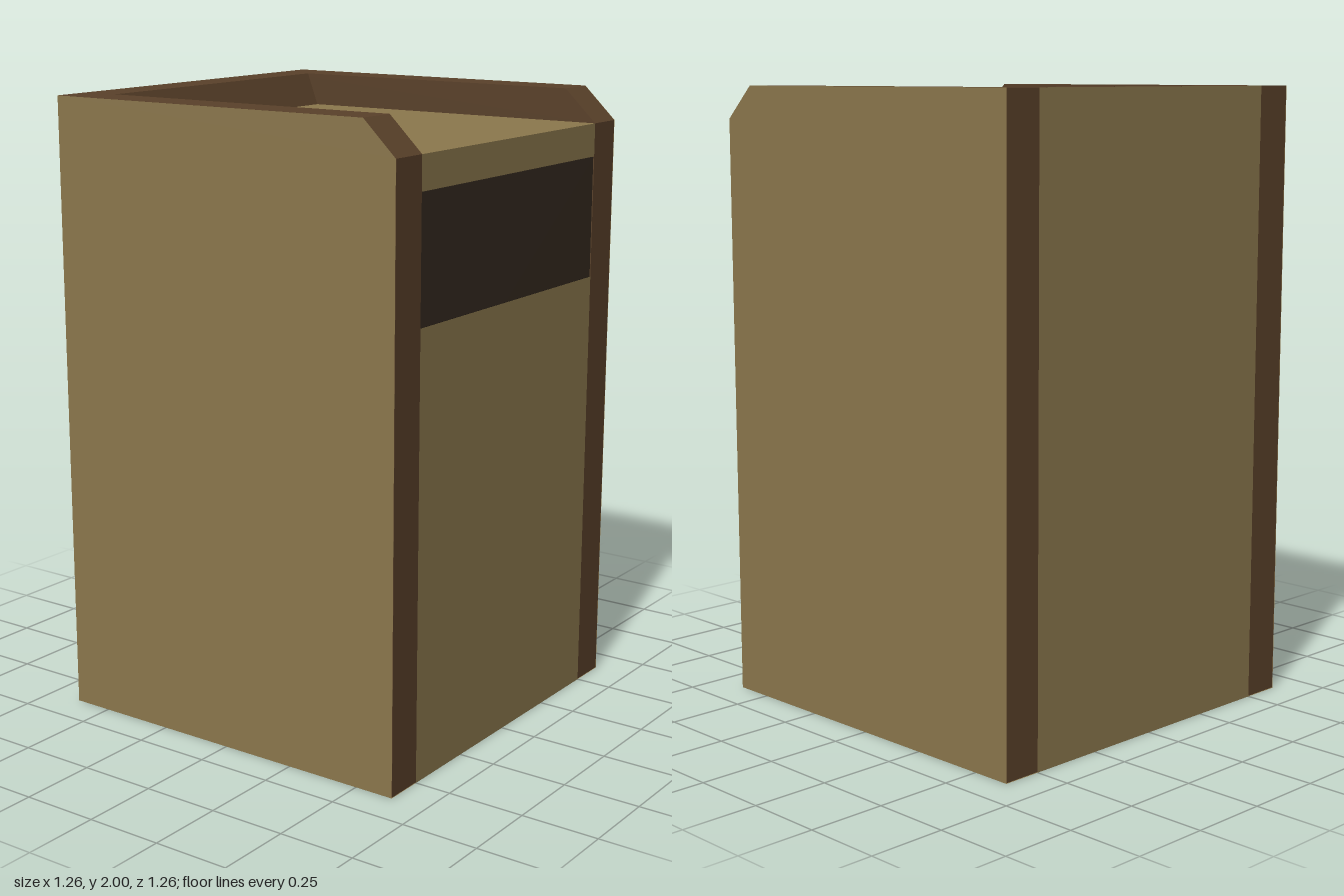
import * as THREE from 'three';

const mat = (color, side = THREE.FrontSide) =>
  new THREE.MeshStandardMaterial({ color, side, flatShading: true });

const HALF = 0.63, INNER = 0.5, TOP = 2, LID_TOP = 1.895, LID_BOTTOM = 1.79, SILL = 1.4;
const SKIN = 0.002; // keeps facing sheets clear of the frame behind them

export function createModel() {
  const group = new THREE.Group();
  const trim = mat(0x5a412a);
  const board = mat(0x8c784d, THREE.DoubleSide);
  const dark = mat(0x231b13, THREE.DoubleSide);

  const add = (name, geometry, material, x = 0, y = 0, z = 0) => {
    const mesh = new THREE.Mesh(geometry, material);
    mesh.name = name;
    mesh.position.set(x, y, z);
    group.add(mesh);
    return mesh;
  };
  const sheet = (name, w, h, material, pos, rx = 0, ry = 0) =>
    add(name, new THREE.PlaneGeometry(w, h), material, ...pos).rotation.set(rx, ry, 0);

  // Side profiles are written as [z, y] and swept along x
  const profile = (points) =>
    new THREE.Shape(points.map(([z, y]) => new THREE.Vector2(-z, y)));
  const sweep = (shape, depth) =>
    new THREE.ExtrudeGeometry(shape, { depth, bevelEnabled: false }).rotateY(Math.PI / 2);

  // Side walls with a clipped top front corner, faced with board outside
  const outline = (inset) => profile([
    [-HALF, inset], [HALF, inset], [HALF, LID_TOP], [0.52, TOP], [-HALF, TOP],
  ]);
  const thickness = HALF - INNER - SKIN;
  for (const [side, s] of [['left', 1], ['right', -1]]) {
    add(side + 'Wall', sweep(outline(SKIN), thickness), trim, s > 0 ? INNER : -HALF + SKIN);
    add(side + 'Facing', new THREE.ShapeGeometry(outline(0)).rotateY(Math.PI / 2), board, s * HALF);
  }

  // Rear rim with a sloped inner face
  add('rearRim', sweep(profile([
    [-HALF + SKIN, LID_TOP - 0.05], [-0.45, LID_TOP - 0.05], [-0.47, LID_TOP],
    [-0.51, TOP], [-HALF + SKIN, TOP],
  ]), 2 * INNER), trim, -INNER);

  // Body panels
  sheet('backPanel', 2 * INNER, TOP, board, [0, TOP / 2, -HALF], 0, Math.PI);
  sheet('frontPanel', 2 * INNER, SILL, board, [0, SILL / 2, HALF]);
  sheet('basePanel', 2 * HALF, 2 * HALF, board, [0, 0, 0], Math.PI / 2);

  // Recessed lid above the opening
  const lidDepth = HALF + 0.5;
  add('lid', new THREE.BoxGeometry(2 * INNER, LID_TOP - LID_BOTTOM, lidDepth), board,
    0, (LID_TOP + LID_BOTTOM) / 2, HALF - lidDepth / 2);

  // Dark lining of the hollow behind the opening
  const back = -0.45, floor = 0.05, roof = LID_BOTTOM - SKIN, front = HALF - SKIN;
  const depth = front - back, height = roof - floor;
  const midY = (roof + floor) / 2, midZ = (front + back) / 2;
  const wallX = INNER - SKIN;
  sheet('liningBack', 2 * wallX, height, dark, [0, midY, back]);
  sheet('liningFloor', 2 * wallX, depth, dark, [0, floor, midZ], -Math.PI / 2);
  sheet('liningRoof', 2 * wallX, depth, dark, [0, roof, midZ], Math.PI / 2);
  sheet('liningFront', 2 * wallX, SILL - floor, dark, [0, (SILL + floor) / 2, front], 0, Math.PI);
  for (const s of [-1, 1])
    sheet(s > 0 ? 'liningLeft' : 'liningRight', depth, height, dark,
      [s * wallX, midY, midZ], 0, -s * Math.PI / 2);

  return group;
}
